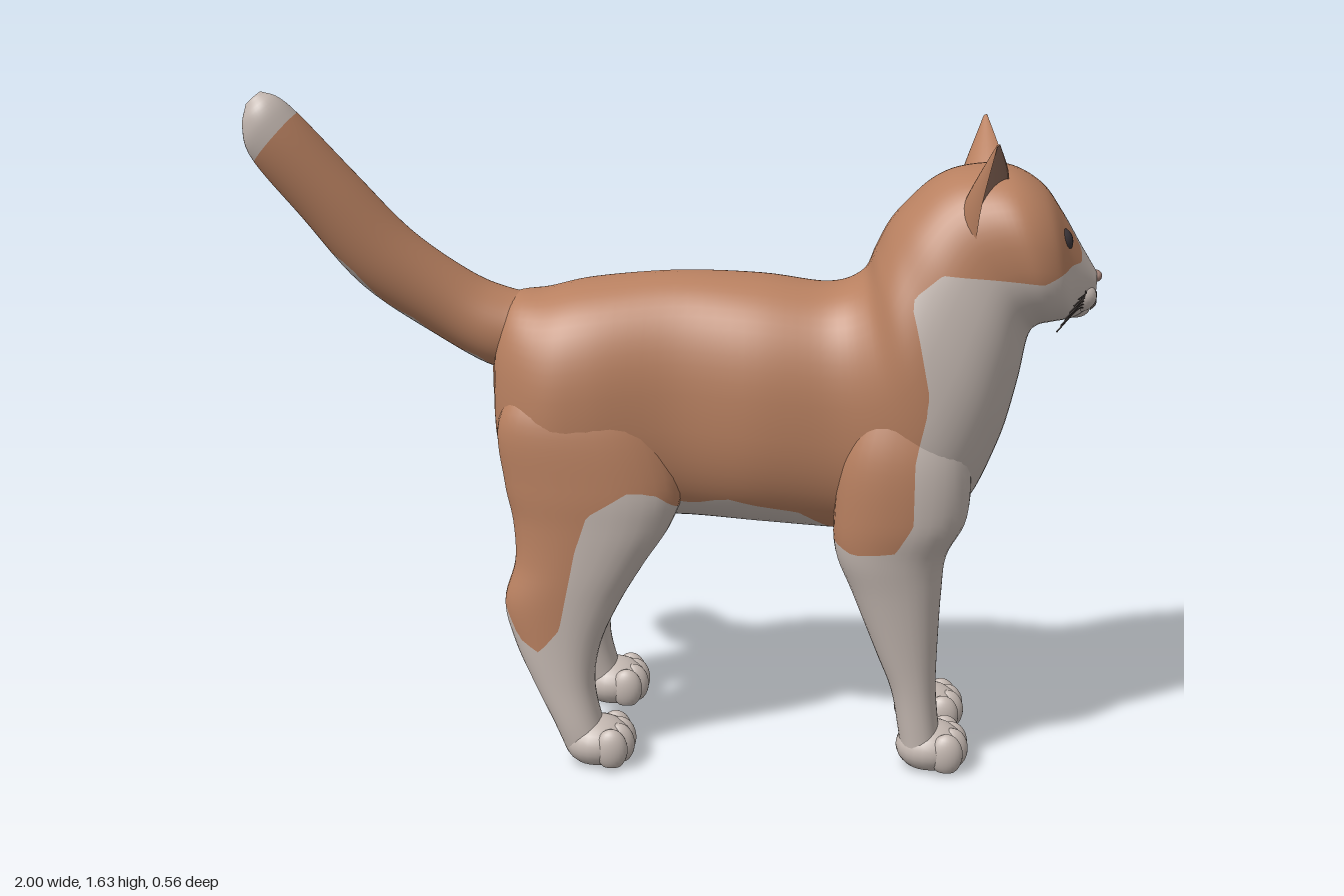
import * as THREE from 'three';

const mat = (name, color) => Object.assign(new THREE.MeshStandardMaterial({ color }), { name });
const orange = mat('gingerFur', 0xb88060);
const white = mat('paleFur', 0xc4b8b1);
const earSkin = mat('earSkin', 0x94705f);
const eyeDark = mat('eyeDark', 0x3b3539);
const padDark = mat('padDark', 0x3a3432);
const nosePink = mat('nosePink', 0xa5857a);
const whiskerDark = mat('whiskerDark', 0x4a423f);

const V = (x, y, z = 0) => new THREE.Vector3(x, y, z);
const FRONT_Z = 0.03; // the front half stands slightly off centre
const HIND_Z = -0.01;

// Closed skin through rings; each row is [one end, opposite end, half-width vector]
function loft(rows, { around = 40, steps = 6, power = 2, fold = 1 } = {}) {
  const [P, Q, S] = [0, 1, 2].map(i =>
    new THREE.CatmullRomCurve3(rows.map(r => r[i]), false, 'catmullrom', 0.5));
  const n = (rows.length - 1) * steps;
  const centre = t => P.getPoint(t).add(Q.getPoint(t)).multiplyScalar(0.5);
  const axis = t => P.getPoint(t).sub(Q.getPoint(t)).multiplyScalar(0.5);
  const turn = axis(0.5).cross(S.getPoint(0.5)).dot(centre(0.55).sub(centre(0.45))) < 0 ? -1 : 1;
  const bend = v => Math.sign(v) * Math.abs(v) ** (2 / power);
  const pos = [], idx = [];
  for (let i = 0; i <= n; i++) {
    const c = centre(i / n), a = axis(i / n), s = S.getPoint(i / n);
    for (let j = 0; j < around; j++) {
      const th = (j / around) * Math.PI * 2;
      let v = bend(Math.sin(th)) * turn;
      if (v > 0) v *= fold;
      const p = c.clone().addScaledVector(a, bend(Math.cos(th))).addScaledVector(s, v);
      pos.push(p.x, p.y, p.z);
    }
  }
  const first = pos.length / 3, last = first + 1;
  pos.push(...centre(0).toArray(), ...centre(1).toArray());
  for (let j = 0; j < around; j++) {
    const k = (j + 1) % around;
    for (let i = 0; i < n; i++) {
      const a = i * around, b = a + around;
      idx.push(a + j, a + k, b + j, a + k, b + k, b + j);
    }
    idx.push(first, k, j, last, n * around + j, n * around + k);
  }
  const g = new THREE.BufferGeometry();
  g.setAttribute('position', new THREE.Float32BufferAttribute(pos, 3));
  g.setIndex(idx);
  g.computeVertexNormals();
  return g;
}

// Cuts a skin along rule = 0: first colour where positive, second where negative
function paint(name, g, rule, matA, matB) {
  const P = g.attributes.position, N = g.attributes.normal, id = g.index.array;
  const verts = [];
  for (let i = 0; i < P.count; i++) {
    const p = new THREE.Vector3().fromBufferAttribute(P, i);
    const n = new THREE.Vector3().fromBufferAttribute(N, i);
    verts.push({ p, n, f: rule(p, n) });
  }
  const pos = [], nor = [], out = new THREE.BufferGeometry();
  [1, -1].forEach((sign, m) => {
    const start = pos.length / 3;
    for (let i = 0; i < id.length; i += 3) {
      const poly = [];
      for (let k = 0; k < 3; k++) {
        const a = verts[id[i + k]], b = verts[id[i + (k + 1) % 3]];
        const inA = a.f * sign > 0, inB = b.f * sign > 0;
        if (inA) poly.push(a);
        if (inA !== inB) {
          const t = a.f / (a.f - b.f);
          poly.push({ p: a.p.clone().lerp(b.p, t), n: a.n.clone().lerp(b.n, t).normalize() });
        }
      }
      for (let k = 1; k + 1 < poly.length; k++)
        for (const v of [poly[0], poly[k], poly[k + 1]]) {
          pos.push(v.p.x, v.p.y, v.p.z);
          nor.push(v.n.x, v.n.y, v.n.z);
        }
    }
    out.addGroup(start, pos.length / 3 - start, m);
  });
  out.setAttribute('position', new THREE.Float32BufferAttribute(pos, 3));
  out.setAttribute('normal', new THREE.Float32BufferAttribute(nor, 3));
  const mesh = new THREE.Mesh(out, [matA, matB]);
  mesh.name = name;
  return mesh;
}

// Side outline of the ginger coat
const COAT = [[-.6, 1.7], [-.6, .41], [-.41, .4], [-.37, .32], [-.32, .29], [-.27, .35], [-.23, .55], [-.2, .64],
  [-.1, .7], [-.04, .69], [.02, .64], [.05, .67], [.08, .645], [.11, .675], [.2, .655], [.3, .64], [.37, .59], [.43, .565],
  [.53, .58], [.57, .65], [.57, .8], [.6, .95], [.57, 1.1], [.55, 1.18], [.62, 1.24], [.85, 1.22], [.92, 1.25],
  [1.1, 1.25], [1.1, 1.7]];
function coat(p) {
  let d = 9, inside = false;
  COAT.forEach(([ax, ay], i) => {
    const [bx, by] = COAT[(i + 1) % COAT.length], ex = bx - ax, ey = by - ay;
    const t = THREE.MathUtils.clamp(((p.x - ax) * ex + (p.y - ay) * ey) / (ex * ex + ey * ey), 0, 1);
    d = Math.min(d, Math.hypot(p.x - ax - t * ex, p.y - ay - t * ey));
    if ((ay > p.y) !== (by > p.y) && p.x < ax + (p.y - ay) * ex / ey) inside = !inside;
  });
  let f = (inside ? 1 : -1) * (d + 1e-6);
  if (p.x > 0.84) { // pale blaze between the eyes
    const half = 0.04 + Math.max(0, 1.28 - p.y) * 1.2;
    f = Math.min(f, Math.max(Math.abs(p.z - FRONT_Z - 0.005) - half, p.y - 1.35));
  }
  return f;
}

function blob(parent, name, material, c, r) {
  const m = new THREE.Mesh(new THREE.SphereGeometry(1, 24, 16).scale(...r).translate(...c), material);
  const p = m.geometry.attributes.position;
  for (let i = 0; i < p.count; i++) p.setY(i, Math.max(p.getY(i), 0.005));
  m.name = name;
  parent.add(m);
}

function tube(parent, name, pts, r, material) {
  const m = new THREE.Mesh(new THREE.TubeGeometry(new THREE.CatmullRomCurve3(pts), 10, r, 5), material);
  m.name = name;
  parent.add(m);
}

// Paw with four toes and dark soles
function paw(parent, x, z) {
  const g = new THREE.Group();
  g.name = 'paw';
  const parts = [[x, z, .085, .062, .08]];
  for (const o of [-.058, -.02, .02, .058])
    parts.push([x + (Math.abs(o) > .03 ? .036 : .05), z + o, .04, .052, .026]);
  parts.forEach(([px, pz, rx, ry, rz], i) => {
    blob(g, i ? 'toe' : 'pawBase', white, [px, .05, pz], [rx, ry, rz]);
    const sole = new THREE.Mesh(new THREE.CircleGeometry(.78, 20).rotateX(Math.PI / 2)
      .scale(rx, 1, rz).translate(px, i ? .001 : .002, pz), padDark);
    sole.name = 'sole';
    g.add(sole);
  });
  parent.add(g);
}

// Leg rows: height, back x, front x, inner and outer distance from the middle
const FRONT_LEG = [[.95, .46, .66, .08, .2], [.8, .40, .70, .04, .24], [.65, .385, .70, .02, .243], [.55, .39, .655, .018, .228],
  [.45, .43, .645, .028, .212], [.3, .49, .64, .042, .195], [.2, .53, .64, .05, .187], [.1, .55, .65, .05, .185], [.03, .56, .66, .05, .185]];
const HIND_LEG = [[.98, -.34, -.12, .08, .17], [.85, -.42, -.03, .05, .222], [.7, -.41, .02, .03, .236], [.6, -.39, -.005, .035, .236],
  [.5, -.385, -.07, .06, .235], [.4, -.41, -.13, .08, .235], [.3, -.385, -.175, .1, .237], [.2, -.34, -.19, .115, .242],
  [.1, -.29, -.17, .125, .25], [.03, -.26, -.14, .13, .25]];
function leg(parent, name, rows, s, cz) {
  const g = loft(rows.map(([y, xb, xf, a, b]) => {
    const z = cz + s * (a + b) / 2;
    return [V(xf, y, z), V(xb, y, z), V(0, 0, (b - a) / 2)];
  }), { around: 32, power: 2.2 });
  const rule = p => Math.min(coat(p), s * (p.z - cz) - 0.11 + Math.max(0, p.y - 0.62) * 2);
  parent.add(paint(name, g, rule, orange, white));
}

export function createModel() {
  const cat = new THREE.Group();
  cat.name = 'cat';

  // Body, neck and head: top x, y, bottom x, y, half width, middle z
  const body = [[-.445, 1.0, -.445, .86, .05, -.01], [-.41, 1.12, -.425, .72, .13, -.005], [-.31, 1.145, -.33, .6, .2, 0], [-.2, 1.17, -.2, .58, .213, 0],
    [0, 1.19, 0, .59, .188, 0], [.2, 1.185, .2, .58, .215, 0], [.36, 1.17, .4, .57, .205, .01], [.44, 1.2, .56, .57, .225, .02],
    [.47, 1.26, .69, .64, .246, .025], [.5, 1.32, .77, .8, .235, .025], [.54, 1.37, .81, .95, .22, .03], [.6, 1.425, .83, 1.06, .205, .03],
    [.67, 1.455, .85, 1.09, .204, .033], [.77, 1.46, .88, 1.1, .207, .035], [.85, 1.42, .915, 1.105, .175, .035],
    [.9, 1.355, .94, 1.11, .118, .035], [.945, 1.28, .962, 1.125, .075, .035], [.985, 1.215, .982, 1.15, .035, .035]];
  cat.add(paint('bodyAndHead', loft(body.map(([tx, ty, bx, by, w, z]) => [V(tx, ty, z), V(bx, by, z), V(0, 0, w)]),
    { around: 56, power: 2.3 }), coat, orange, white));

  // Tail with a pale tip and a thin pale line underneath
  const tail = [[-.3, 1.12, -.34, .95, .09, 0], [-.41, 1.142, -.44, .95, .1, 0], [-.5, 1.185, -.58, 1.03, .09, .018], [-.63, 1.29, -.75, 1.16, .085, .06],
    [-.75, 1.43, -.88, 1.33, .08, .1], [-.86, 1.565, -.98, 1.47, .068, .14], [-.91, 1.615, -.996, 1.545, .052, .155], [-.95, 1.63, -.985, 1.6, .02, .16]];
  cat.add(paint('tail', loft(tail.map(([tx, ty, bx, by, w, z]) => [V(tx, ty, z), V(bx, by, z), V(0, 0, w)])), p => {
    const u = -.45 - p.x;
    const under = p.y - (.965 + .45 * u + .95 * u * u + .01 * Math.sin(45 * u));
    return Math.min(.74 * (p.x + .925) - .67 * (p.y - 1.52), under);
  }, orange, white));

  const hz = FRONT_Z + 0.005;
  for (const s of [1, -1]) {
    const side = s > 0 ? 'left' : 'right';
    leg(cat, side + 'FrontLeg', FRONT_LEG, s, FRONT_Z);
    leg(cat, side + 'HindLeg', HIND_LEG, s, HIND_Z);
    paw(cat, .632, FRONT_Z + s * .118);
    paw(cat, -.18, HIND_Z + s * .19);

    // Ear folded open towards the front and side
    const dir = V(.85, 0, s * .5).normalize();
    const ear = loft([[V(.77, 1.42, hz + s * .07), V(.69, 1.30, hz + s * .185), dir.clone().multiplyScalar(.085)],
      [V(.76, 1.475, hz + s * .14), V(.7, 1.4, hz + s * .21), dir.clone().multiplyScalar(.055)],
      [V(.733, 1.545, hz + s * .243), V(.727, 1.54, hz + s * .246), dir.clone().multiplyScalar(.005)]], { around: 32, fold: -.3 });
    cat.add(paint(side + 'Ear', ear, (p, n) => .25 - n.dot(dir), orange, earSkin));

    blob(cat, side + 'Eye', eyeDark, [.885, 1.3, hz + s * .09], [.034, .035, .036]);
    blob(cat, side + 'Cheek', white, [.94, 1.162, hz + s * .036], [.045, .038, .045]);
    tube(cat, side + 'Mouth', [V(.986, 1.165, hz), V(.984, 1.14, hz + s * .015), V(.968, 1.132, hz + s * .045)], .003, whiskerDark);
    for (let i = 0; i < 6; i++) {
      const y = 1.18 - i * .008, end = 1.185 - i * .017;
      tube(cat, side + 'Whisker', [V(.955, y, hz + s * .06), V(.95 - i * .004, y + .006, hz + s * .12),
        V(.925 - i * .008, end, hz + s * (.185 - i * .008))], .0018, whiskerDark);
    }
  }
  blob(cat, 'chin', white, [.94, 1.128, hz], [.035, .025, .035]);
  blob(cat, 'nose', nosePink, [.985, 1.203, hz], [.014, .014, .02]);
  return cat;
}
